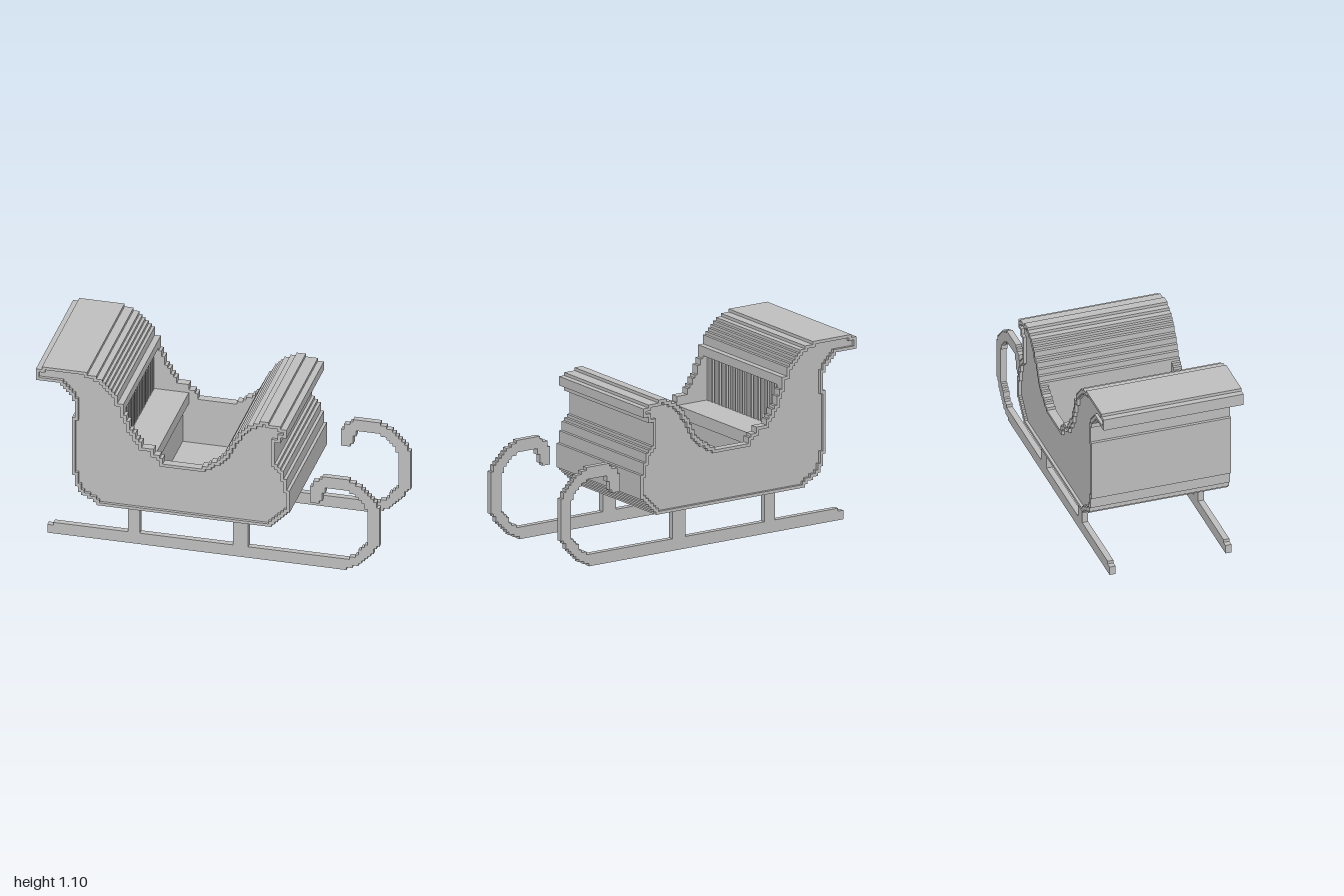
import * as THREE from 'three';

const V = 2 / 113; // size of one block step

// Snap a rough closed outline to the block grid, giving a stair-stepped outline
function stepped(points) {
  const path = [];
  const push = (i, j) => {
    const last = path[path.length - 1];
    if (last && last[0] === i && last[1] === j) return;
    if (last && last[0] !== i && last[1] !== j) path.push([i, last[1]]);
    path.push([i, j]);
  };
  points.forEach((a, k) => {
    const b = points[(k + 1) % points.length];
    const n = Math.max(1, Math.ceil(Math.hypot(b[0] - a[0], b[1] - a[1]) / (V / 4)));
    for (let s = 0; s <= n; s++) {
      const t = s / n;
      push(Math.round((a[0] + (b[0] - a[0]) * t + 1) / V), Math.round((a[1] + (b[1] - a[1]) * t) / V));
    }
  });
  // drop straight-through points and spikes
  for (let changed = true; changed;) {
    changed = false;
    for (let k = 0; k < path.length; k++) {
      const p = path[(k + path.length - 1) % path.length], c = path[k], n = path[(k + 1) % path.length];
      if ((c[0] - p[0]) * (n[1] - c[1]) === (c[1] - p[1]) * (n[0] - c[0])) {
        path.splice(k, 1);
        changed = true;
        k--;
      }
    }
  }
  return path.map(([i, j]) => new THREE.Vector2(i * V - 1, j * V));
}

// Move every edge of a counter-clockwise stepped outline inwards
function inset(path, d) {
  return path.map((c, k) => {
    const p = path[(k + path.length - 1) % path.length], n = path[(k + 1) % path.length];
    const a = c.clone().sub(p).normalize(), b = n.clone().sub(c).normalize();
    return new THREE.Vector2(c.x - (a.y + b.y) * d, c.y + (a.x + b.x) * d);
  });
}

function slab(path, z0, z1, hole) {
  const shape = new THREE.Shape(path);
  if (hole) shape.holes.push(new THREE.Path(hole));
  return new THREE.ExtrudeGeometry(shape, { depth: z1 - z0, bevelEnabled: false }).translate(0, 0, z0);
}

export function createModel() {
  const group = new THREE.Group();
  const grey = new THREE.MeshStandardMaterial({ color: 0xbfbfbf });
  grey.name = 'plain grey';
  const add = (name, geometry) => {
    const mesh = new THREE.Mesh(geometry, grey);
    mesh.name = name;
    group.add(mesh);
  };
  const box = (name, x0, x1, y0, y1, z0, z1) => add(name,
    new THREE.BoxGeometry(x1 - x0, y1 - y0, z1 - z0).translate((x0 + x1) / 2, (y0 + y1) / 2, (z0 + z1) / 2));

  // Side profile of the body: underside, dashboard, door dip, curled back
  const dash = [
    [-0.64, 0.25], [0.36, 0.25], [0.42, 0.285], [0.46, 0.345], [0.49, 0.36], [0.49, 0.5], [0.47, 0.5],
    [0.47, 0.57], [0.45, 0.57], [0.45, 0.6], [0.42, 0.655], [0.4, 0.655], [0.4, 0.79], [0.44, 0.79], [0.44, 0.825],
    [0.47, 0.825], [0.47, 0.88], [0.43, 0.88], [0.43, 0.9], [0.36, 0.9], [0.36, 0.915], [0.32, 0.915],
    [0.27, 0.895], [0.22, 0.855], [0.17, 0.79], [0.13, 0.71], [0.1, 0.67]];
  const dip = [
    [0.07, 0.64], [0.02, 0.6], [-0.04, 0.57], [-0.25, 0.57], [-0.25, 0.6], [-0.31, 0.62], [-0.31, 0.655],
    [-0.37, 0.655], [-0.4, 0.7], [-0.44, 0.76], [-0.47, 0.85], [-0.48, 0.85]];
  const back = [
    [-0.48, 0.92], [-0.51, 0.92], [-0.53, 0.97], [-0.58, 1.03], [-0.65, 1.08], [-0.7, 1.08], [-0.7, 1.1],
    [-0.96, 1.1], [-0.96, 1.08], [-1, 1.08], [-1, 1.01], [-0.87, 1.01], [-0.84, 0.99], [-0.8, 0.94],
    [-0.77, 0.89], [-0.77, 0.79], [-0.79, 0.79], [-0.79, 0.42], [-0.77, 0.42], [-0.77, 0.36],
    [-0.74, 0.32], [-0.7, 0.285], [-0.64, 0.265]];
  // Cabin cut-out: dashboard wall, floor, seat, backrest recess, top rail
  const cabin = [
    [0.1, 0.28], [-0.35, 0.28], [-0.35, 0.53], [-0.31, 0.53], [-0.31, 0.6],
    [-0.535, 0.6], [-0.535, 0.87], [-0.48, 0.87]];

  const outline = stepped([...dash, ...dip, ...back]);
  const panel = inset(outline, V);
  add('cabin', slab(stepped([...dash, ...cabin, ...back]), -0.37, 0.37));
  for (const side of [1, -1]) {
    const span = (a, b) => (side > 0 ? [a, b] : [-b, -a]);
    add('sidePanel', slab(panel, ...span(0.37, 0.402)));
    add('sideTrim', slab(outline, ...span(0.37, 0.42), panel));
  }

  // Backrest slats
  for (let k = -10; k <= 10; k++) {
    box('backrestSlat', -0.54, -0.512, 0.6, 0.875, k * 2 * V - V / 2, k * 2 * V + V / 2);
  }

  // Runners with curled fronts, and their posts
  const runner = stepped([
    [-0.94, 0], [0.8, 0], [0.83, 0.02], [0.88, 0.05], [0.93, 0.1], [0.97, 0.15], [1, 0.19], [1, 0.41],
    [0.97, 0.46], [0.92, 0.52], [0.86, 0.56], [0.81, 0.58], [0.67, 0.58], [0.62, 0.545], [0.59, 0.5],
    [0.59, 0.4], [0.65, 0.4], [0.66, 0.47], [0.69, 0.51], [0.81, 0.51], [0.87, 0.48], [0.91, 0.43],
    [0.93, 0.38], [0.93, 0.2], [0.9, 0.15], [0.86, 0.1], [0.82, 0.07], [-0.91, 0.07], [-0.91, 0.055], [-0.94, 0.055]]);
  for (const z of [-0.348, 0.348]) {
    add('runner', slab(runner, z - V, z + V));
    for (const [x0, x1] of [[-0.475, -0.405], [0.14, 0.23]]) {
      box('runnerPost', x0, x1, 0.07, 0.25, z - V, z + V);
    }
  }
  return group;
}
